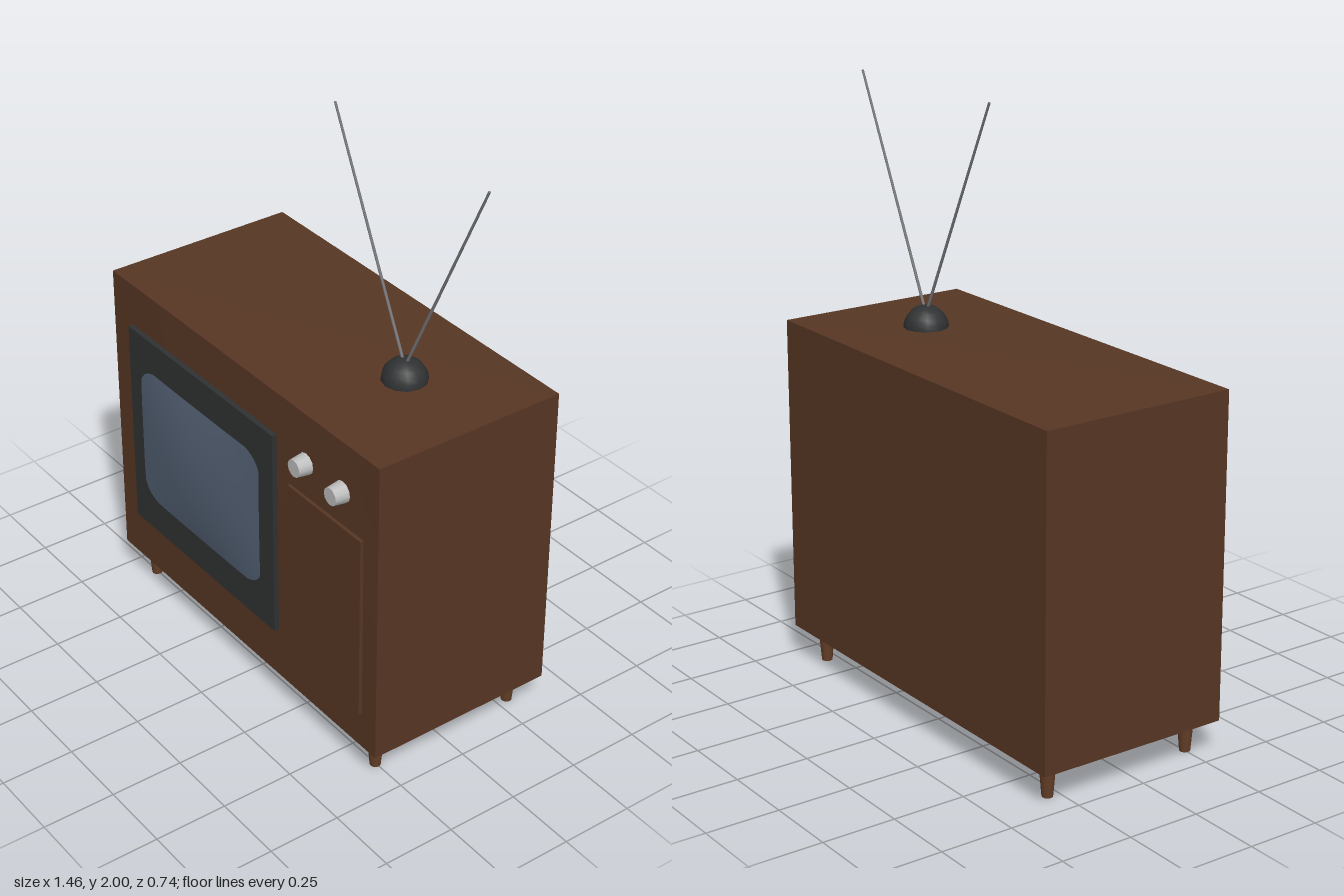
import * as THREE from 'three';

const mat = (name, color) => Object.assign(new THREE.MeshStandardMaterial({ color }), { name });

export function createModel() {
  const wood = mat('walnut', 0x573624);
  const legWood = mat('legWood', 0x633e27);
  const dark = mat('darkPlastic', 0x303132);
  const glass = mat('screenGlass', 0x536073);
  const metal = mat('metal', 0xbcbcbc);
  const rodMetal = mat('rodMetal', 0x77777a);

  const tv = new THREE.Group();
  tv.name = 'television';
  const add = (name, geo, material, x = 0, y = 0, z = 0) => {
    const mesh = new THREE.Mesh(geo, material);
    mesh.name = name;
    mesh.position.set(x, y, z);
    tv.add(mesh);
    return mesh;
  };

  // Cabinet: a box whose faces bow out very slightly
  const half = [0.717, 0.544, 0.341];
  const box = new THREE.BoxGeometry(half[0] * 2, half[1] * 2, half[2] * 2, 8, 8, 8);
  const p = box.attributes.position;
  for (let i = 0; i < p.count; i++) {
    const v = [p.getX(i), p.getY(i), p.getZ(i)];
    const u = v.map((c, k) => c / half[k]);
    const bow = (a, b, c) => 0.004 * u[a] * (1 - u[b] ** 2) * (1 - u[c] ** 2);
    p.setXYZ(i, v[0] + bow(0, 1, 2), v[1] + bow(1, 0, 2), v[2] + bow(2, 0, 1));
  }
  box.computeVertexNormals();
  add('cabinet', box, wood, -0.012, 0.66, -0.022);

  // Tapered legs
  for (const x of [-0.645, 0.62])
    for (const z of [-0.29, 0.252])
      add('leg', new THREE.CylinderGeometry(0.028, 0.018, 0.116, 12), legWood, x, 0.058, z);

  // Screen surround
  add('screenSurround', new THREE.BoxGeometry(0.81, 0.75, 0.018), dark, -0.205, 0.683, 0.333);

  // Domed glass, with corners sinking into the surround
  const w = 0.335, h = 0.255;
  const dome = new THREE.PlaneGeometry(w * 2, h * 2, 28, 24);
  const d = dome.attributes.position;
  for (let i = 0; i < d.count; i++) {
    const u = (d.getX(i) / w) ** 2, v = (d.getY(i) / h) ** 2;
    d.setZ(i, 0.0015 + 0.025 * (1 - u) * (1 - v) - 0.004 * u * u * v * v);
  }
  dome.computeVertexNormals();
  add('screenGlass', dome, glass, -0.21, 0.685, 0.342);

  // Speaker panel
  add('speakerPanel', new THREE.BoxGeometry(0.37, 0.66, 0.014), wood, 0.45, 0.58, 0.325);

  // Tuning knobs
  for (const x of [0.347, 0.53]) {
    const knob = add('knob', new THREE.CylinderGeometry(0.03, 0.037, 0.05, 12), metal, x, 1.03, 0.342);
    knob.rotation.x = Math.PI / 2;
  }

  // Aerial base
  const base = new THREE.SphereGeometry(0.075, 12, 6, 0, Math.PI * 2, 0, Math.PI / 2);
  add('aerialBase', base, dark, 0.365, 1.205, -0.038);

  // Aerial rods in a V
  const foot = new THREE.Vector3(0.365, 1.25, -0.038);
  for (const side of [-1, 1]) {
    const tip = new THREE.Vector3(0.365 + side * 0.358, 1.998, -0.038);
    const dir = tip.clone().sub(foot);
    const rod = add('aerialRod', new THREE.CylinderGeometry(0.004, 0.005, dir.length(), 8), rodMetal);
    rod.position.copy(foot).add(tip).multiplyScalar(0.5);
    rod.quaternion.setFromUnitVectors(new THREE.Vector3(0, 1, 0), dir.normalize());
  }
  return tv;
}
